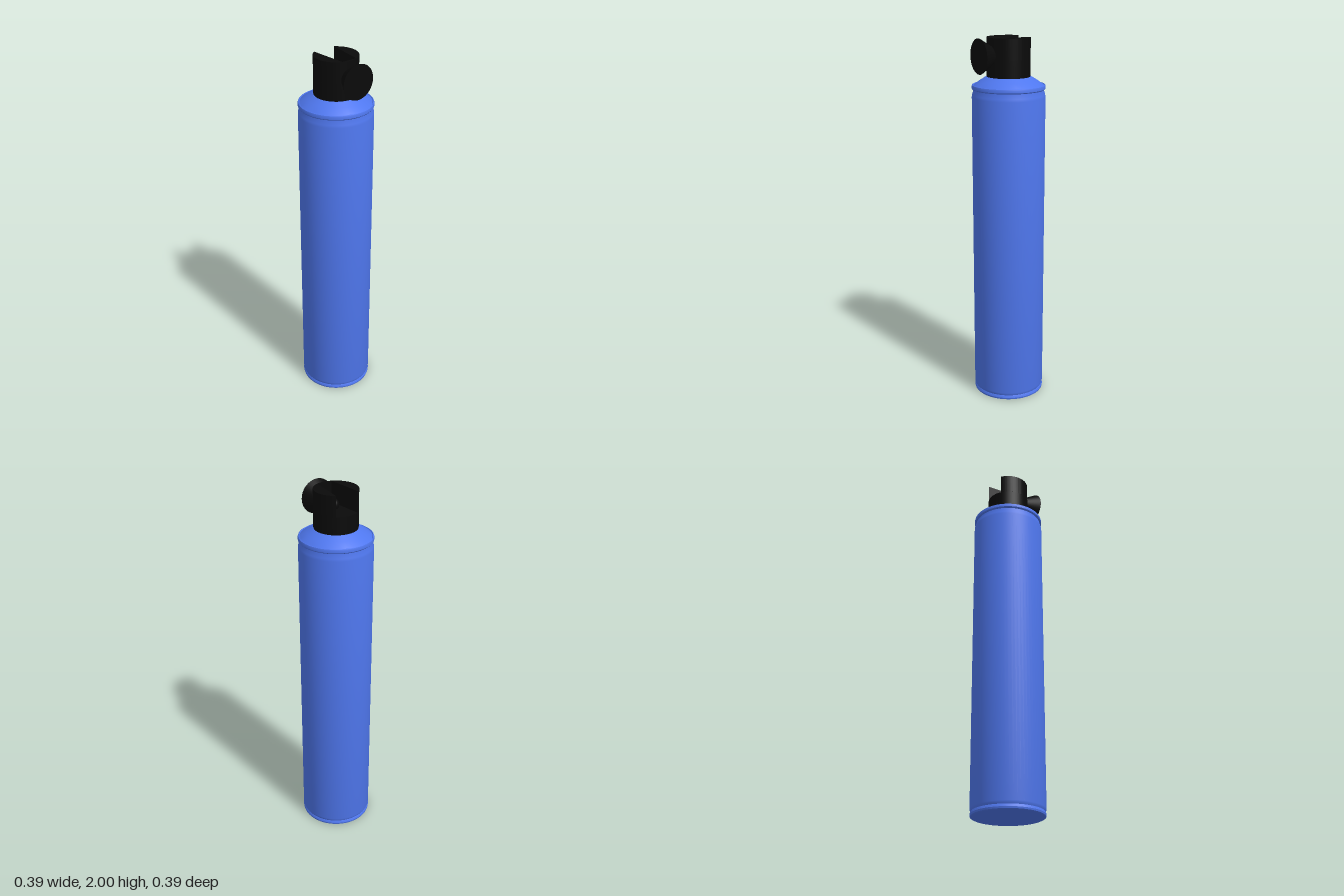
import * as THREE from 'three';
import { toCreasedNormals } from 'three/addons/utils/BufferGeometryUtils.js';

const blue = new THREE.MeshStandardMaterial({ color: 0x4f77ee });
const black = new THREE.MeshStandardMaterial({ color: 0x0a0a0a });

const CAP_R = 0.115, CAP_BOTTOM = 1.79, SLOT_FLOOR = 1.89, CAP_TOP = 2;

function add(group, name, geometry, material) {
  const mesh = new THREE.Mesh(geometry, material);
  mesh.name = name;
  group.add(mesh);
  return mesh;
}

function lathe(points, segments = 64) {
  const profile = points.map(([r, y]) => new THREE.Vector2(r, y));
  return toCreasedNormals(new THREE.LatheGeometry(profile, segments), 0.45);
}

export function createModel() {
  const model = new THREE.Group();
  model.name = 'sprayCan';

  // Can: slightly domed base, bottom seam, straight wall, neck groove
  add(model, 'canBody', lathe([
    [0, 0.02], [0.08, 0.016], [0.15, 0.007], [0.187, 0],
    [0.193, 0.003], [0.195, 0.012], [0.193, 0.02], [0.19, 0.026],
    [0.193, 0.033], [0.195, 0.042], [0.195, 1.69], [0.193, 1.703],
    [0.186, 1.725], [0.186, 1.735],
  ]), blue);

  // Rolled rim and sloping shoulder up to the cap
  add(model, 'shoulder', lathe([
    [0.184, 1.729], [0.191, 1.73], [0.195, 1.735], [0.195, 1.747], [0.193, 1.753],
    [0.189, 1.755], [0.186, 1.751], [0.182, 1.755], [0.15, 1.777], [0.118, 1.797], [0, 1.798],
  ]), blue);

  // Lower cap: its top is the floor of the finger slot
  const base = add(model, 'capBase',
    new THREE.CylinderGeometry(CAP_R, CAP_R, SLOT_FLOOR - CAP_BOTTOM, 64), black);
  base.position.y = (SLOT_FLOOR + CAP_BOTTOM) / 2;

  // Upper cap: walls around a tapering slot that opens at the back
  const backHalf = 0.063, frontHalf = 0.042, frontZ = 0.104;
  const a = Math.acos(backHalf / CAP_R);
  const wall = new THREE.Shape();
  wall.absarc(0, 0, CAP_R, Math.PI - a, Math.PI * 2 + a, false);
  wall.lineTo(frontHalf, -frontZ);
  wall.lineTo(-frontHalf, -frontZ);
  wall.closePath();
  const wallGeometry = new THREE.ExtrudeGeometry(wall, {
    depth: CAP_TOP - SLOT_FLOOR, bevelEnabled: false, curveSegments: 56,
  });
  wallGeometry.rotateX(-Math.PI / 2);
  add(model, 'capWall', toCreasedNormals(wallGeometry, 0.5), black).position.y = SLOT_FLOOR;

  // Flared nozzle pointing forward, with a ball at its inner end
  const nozzle = add(model, 'nozzle', new THREE.CylinderGeometry(0.092, 0.012, 0.135, 48), black);
  nozzle.rotation.x = Math.PI / 2;
  nozzle.position.set(0, 1.908, 0.1095);
  add(model, 'nozzleBall', new THREE.SphereGeometry(0.032, 32, 16), black)
    .position.set(0, 1.908, 0.027);

  return model;
}
